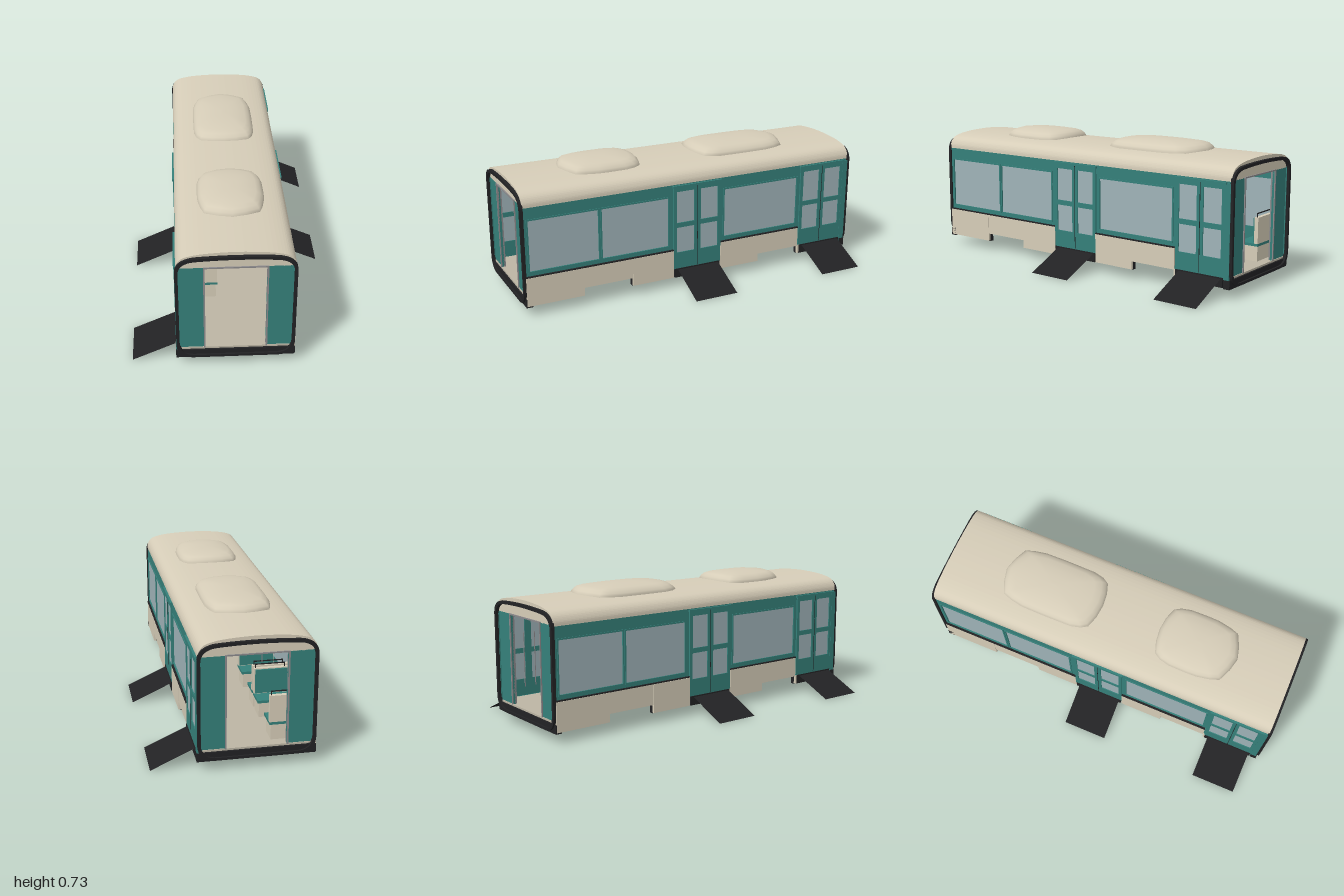
import * as THREE from 'three';

const mat = (color, side = THREE.FrontSide) => new THREE.MeshStandardMaterial({ color, side });
const TEAL = mat(0x35807a), BEIGE = mat(0xd6cdb8, THREE.DoubleSide), BLACK = mat(0x222224, THREE.DoubleSide);
const GLASS = mat(0x9fb3b8), GREY = mat(0x8c8a8c), FLOOR = mat(0xbcb5a4);

function add(parent, name, geometry, material) {
  const mesh = new THREE.Mesh(geometry, material);
  mesh.name = name;
  parent.add(mesh);
  return mesh;
}

// box given by its limits on each axis
function box(parent, name, material, x0, x1, y0, y1, z0, z1) {
  const mesh = add(parent, name, new THREE.BoxGeometry(x1 - x0, y1 - y0, z1 - z0), material);
  mesh.position.set((x0 + x1) / 2, (y0 + y1) / 2, (z0 + z1) / 2);
  return mesh;
}

function rectPath(Type, x0, x1, y0, y1) {
  const p = new Type();
  p.moveTo(x0, y0).lineTo(x1, y0).lineTo(x1, y1).lineTo(x0, y1).closePath();
  return p;
}

// panel lying along z with rectangular openings, rects are [z0, z1, y0, y1]
function sidePanel(parent, name, material, x0, x1, rect, holes) {
  const flip = (Type, [z0, z1, y0, y1]) => rectPath(Type, -z1, -z0, y0, y1);
  const shape = flip(THREE.Shape, rect);
  shape.holes = holes.map((h) => flip(THREE.Path, h));
  const geo = new THREE.ExtrudeGeometry(shape, { depth: x1 - x0, bevelEnabled: false });
  geo.rotateY(Math.PI / 2).translate(x0, 0, 0);
  return add(parent, name, geo, material);
}

function windowFrame(parent, z0, z1, y0, y1, x) {
  const t = 0.008;
  sidePanel(parent, 'windowFrame', TEAL, x, x + 0.006, [z0 - t, z1 + t, y0 - t, y1 + t], [[z0, z1, y0, y1]]);
}

// one long side with its windows, doors, skirt and ramps
function createSide() {
  const side = new THREE.Group();
  side.name = 'side';
  const windows = [[0.58, 0.96, 0.245, 0.52], [0.175, 0.56, 0.245, 0.52], [-0.64, -0.17, 0.245, 0.52]];
  const doors = [0, -0.81];
  const openings = doors.map((z) => [z - 0.137, z + 0.137, 0.108, 0.575]);
  sidePanel(side, 'sideWall', TEAL, 0.276, 0.288, [-0.985, 0.985, 0.1, 0.595], [...windows, ...openings]);
  for (const [z0, z1, y0, y1] of windows) {
    box(side, 'windowPane', GLASS, 0.28, 0.285, y0, y1, z0, z1);
    windowFrame(side, z0, z1, y0, y1, 0.286);
  }
  for (const z of doors) {
    const panes = [];
    for (const s of [-1, 1]) {
      const a = z + s * 0.0725;
      panes.push([a - 0.053, a + 0.053, 0.2, 0.345], [a - 0.053, a + 0.053, 0.372, 0.55]);
      box(side, 'doorRail', GREY, 0.268, 0.272, 0.16, 0.46, a - s * 0.04 - 0.002, a - s * 0.04 + 0.002);
    }
    sidePanel(side, 'door', TEAL, 0.282, 0.296, [z - 0.145, z + 0.145, 0.105, 0.58], panes);
    for (const [z0, z1, y0, y1] of panes) box(side, 'doorPane', GLASS, 0.286, 0.291, y0, y1, z0, z1);
    box(side, 'doorGap', BLACK, 0.295, 0.297, 0.11, 0.575, z - 0.0015, z + 0.0015);
    box(side, 'doorHeader', TEAL, 0.28, 0.3, 0.573, 0.585, z - 0.15, z + 0.15);
    box(side, 'doorSill', BLACK, 0.262, 0.299, 0.055, 0.106, z - 0.14, z + 0.14);
    // thin ramp sloping down to the ground
    const ramp = add(side, 'ramp', new THREE.PlaneGeometry(Math.hypot(0.22, 0.1), 0.25).rotateX(-Math.PI / 2), BLACK);
    ramp.position.set(0.41, 0.05, z - 0.005);
    ramp.rotation.z = -Math.atan2(0.1, 0.22);
  }
  // stepped skirt
  for (const [z0, z1] of [[0.145, 0.985], [-0.66, -0.145]]) {
    box(side, 'skirt', BEIGE, 0.284, 0.296, 0.1, 0.215, z0, z1);
    box(side, 'skirtTrim', BLACK, 0.285, 0.299, 0.214, 0.22, z0, z1);
  }
  for (const [z0, z1] of [[0.67, 0.985], [0.145, 0.39], [-0.39, -0.145], [-0.69, -0.66]]) {
    box(side, 'lowerSkirt', BEIGE, 0.284, 0.298, 0.056, z0 < -0.6 ? 0.105 : 0.213, z0, z1);
    box(side, 'skirtBacking', BLACK, 0.262, 0.285, 0.052, 0.1, z0, z1);
  }
  box(side, 'doorEndPost', TEAL, 0.284, 0.297, 0.056, 0.58, -0.985, -0.953);
  return side;
}

// right half of the roof outline, mirrored into a full arch
function roofPoints(inset) {
  const half = [[0.29, 0.59], [0.287, 0.615], [0.27, 0.643], [0.235, 0.662], [0.15, 0.677], [0, 0.684]];
  const all = [...half, ...half.slice(0, -1).reverse().map(([x, y]) => [-x, y])];
  const k = 1 - inset / 0.29;
  return new THREE.SplineCurve(all.map(([x, y]) => new THREE.Vector2(x * k, 0.59 + (y - 0.59) * (1 - inset / 0.094)))).getPoints(40);
}

// end frame: rounded rubber ring with a slightly arched top
function ringPath(Type, w, y0, y1, r) {
  const p = new Type();
  p.moveTo(-w + r, y0).lineTo(w - r, y0).quadraticCurveTo(w, y0, w, y0 + r);
  p.lineTo(w, y1 - r).quadraticCurveTo(w, y1 - 0.015, w - r, y1 - 0.008);
  p.quadraticCurveTo(0, y1 + 0.006, -w + r, y1 - 0.008).quadraticCurveTo(-w, y1 - 0.015, -w, y1 - r);
  p.lineTo(-w, y0 + r).quadraticCurveTo(-w, y0, -w + r, y0);
  return p;
}

function createEnd() {
  const end = new THREE.Group();
  end.name = 'end';
  const ring = ringPath(THREE.Shape, 0.295, 0.055, 0.664, 0.09);
  ring.holes.push(ringPath(THREE.Path, 0.279, 0.069, 0.648, 0.08));
  add(end, 'endRing', new THREE.ExtrudeGeometry(ring, { depth: 0.018, bevelEnabled: false, curveSegments: 12 }), BLACK)
    .position.z = 0.982;
  const header = new THREE.Shape(roofPoints(0.004));
  add(end, 'endHeader', new THREE.ExtrudeGeometry(header, { depth: 0.012, bevelEnabled: false }), BEIGE).position.z = 0.968;
  for (const s of [-1, 1]) {
    const a = s * 0.15, b = s * 0.287, c = s * 0.158;
    box(end, 'endPanel', TEAL, Math.min(a, b), Math.max(a, b), 0.1, 0.592, 0.968, 0.98);
    box(end, 'doorwayPost', GREY, Math.min(a, c), Math.max(a, c), 0.105, 0.592, 0.96, 0.986);
  }
  box(end, 'doorwayLintel', GREY, -0.158, 0.158, 0.588, 0.595, 0.96, 0.986);
  box(end, 'endBumper', BLACK, -0.298, 0.298, 0.05, 0.096, 0.955, 0.99);
  return end;
}

// domed roof unit: outline scaled inwards level by level
function createPod(zTip, zEnd) {
  const len = Math.abs(zEnd - zTip), dir = Math.sign(zEnd - zTip), mid = (zTip + zEnd) / 2;
  const half = [[0, 0], [0.07, 0.018], [0.14, 0.05], [0.157, 0.1], [0.17, 0.17], [0.172, len / 2], [0.17, len - 0.12],
    [0.157, len - 0.065], [0.135, len - 0.03], [0.07, len - 0.008], [0, len]];
  const outline = [...half, ...half.slice(1, -1).reverse().map(([x, t]) => [-x, t])];
  if (dir > 0) outline.reverse();
  const levels = [[1, 0.655], [1, 0.681], [0.96, 0.7], [0.89, 0.714], [0.76, 0.722], [0.5, 0.728], [0.25, 0.73], [0, 0.73]];
  const pos = [], idx = [], n = outline.length;
  levels.forEach(([s, y], k) => outline.forEach(([x, t]) => {
    const px = x * s;
    pos.push(px, y - (k > 1 ? 0.3 * px * px : 0), mid + (zTip + dir * t - mid) * s);
  }));
  for (let k = 0; k < levels.length - 1; k++) for (let i = 0; i < n; i++) {
    const a = k * n + i, b = k * n + (i + 1) % n;
    idx.push(a, a + n, b, b, a + n, b + n);
  }
  const geo = new THREE.BufferGeometry();
  geo.setAttribute('position', new THREE.Float32BufferAttribute(pos, 3));
  geo.setIndex(idx);
  // wind outward whichever way the outline runs
  geo.computeVertexNormals();
  if (geo.attributes.normal.getY(5 * n + 5) < 0) {
    geo.setIndex(idx.slice().reverse());
    geo.computeVertexNormals();
  }
  return geo;
}

function createSeat(z, facing) {
  const seat = new THREE.Group();
  seat.name = 'seat';
  box(seat, 'seatBase', BEIGE, -0.275, -0.082, 0.106, 0.19, -0.05, 0.05);
  box(seat, 'seatCushion', TEAL, -0.275, -0.074, 0.19, 0.204, -0.055, 0.06);
  box(seat, 'seatBack', BEIGE, -0.275, -0.074, 0.204, 0.345, -0.055, -0.033);
  box(seat, 'backCushion', TEAL, -0.27, -0.08, 0.21, 0.34, -0.033, -0.024);
  box(seat, 'seatHandle', BLACK, -0.24, -0.082, 0.363, 0.368, -0.047, -0.042);
  for (const x of [-0.24, -0.086]) box(seat, 'handlePost', BLACK, x, x + 0.004, 0.344, 0.366, -0.047, -0.042);
  seat.position.z = z;
  if (facing < 0) seat.scale.z = -1;
  return seat;
}

export function createModel() {
  const model = new THREE.Group();
  model.name = 'passengerCar';

  box(model, 'floor', FLOOR, -0.286, 0.286, 0.098, 0.108, -0.984, 0.984);

  const roof = new THREE.Shape([...roofPoints(0), ...roofPoints(0.01).reverse()]);
  add(model, 'roof', new THREE.ExtrudeGeometry(roof, { depth: 1.974, bevelEnabled: false }), BEIGE).position.z = -0.987;
  add(model, 'largeRoofUnit', createPod(-0.67, -0.09), BEIGE);
  add(model, 'smallRoofUnit', createPod(0.69, 0.24), BEIGE);

  // both sides and both ends repeat by a half turn
  for (const turn of [0, Math.PI]) {
    for (const part of [createSide(), createEnd()]) {
      part.rotation.y = turn;
      model.add(part);
    }
  }

  // seats along one side, in facing pairs
  for (const z of [0.4, -0.36, -0.75]) {
    model.add(createSeat(z + 0.13, -1), createSeat(z - 0.13, 1));
    box(model, 'hangingRod', GREY, -0.077, -0.073, 0.45, 0.672, z - 0.002, z + 0.002);
  }
  return model;
}
